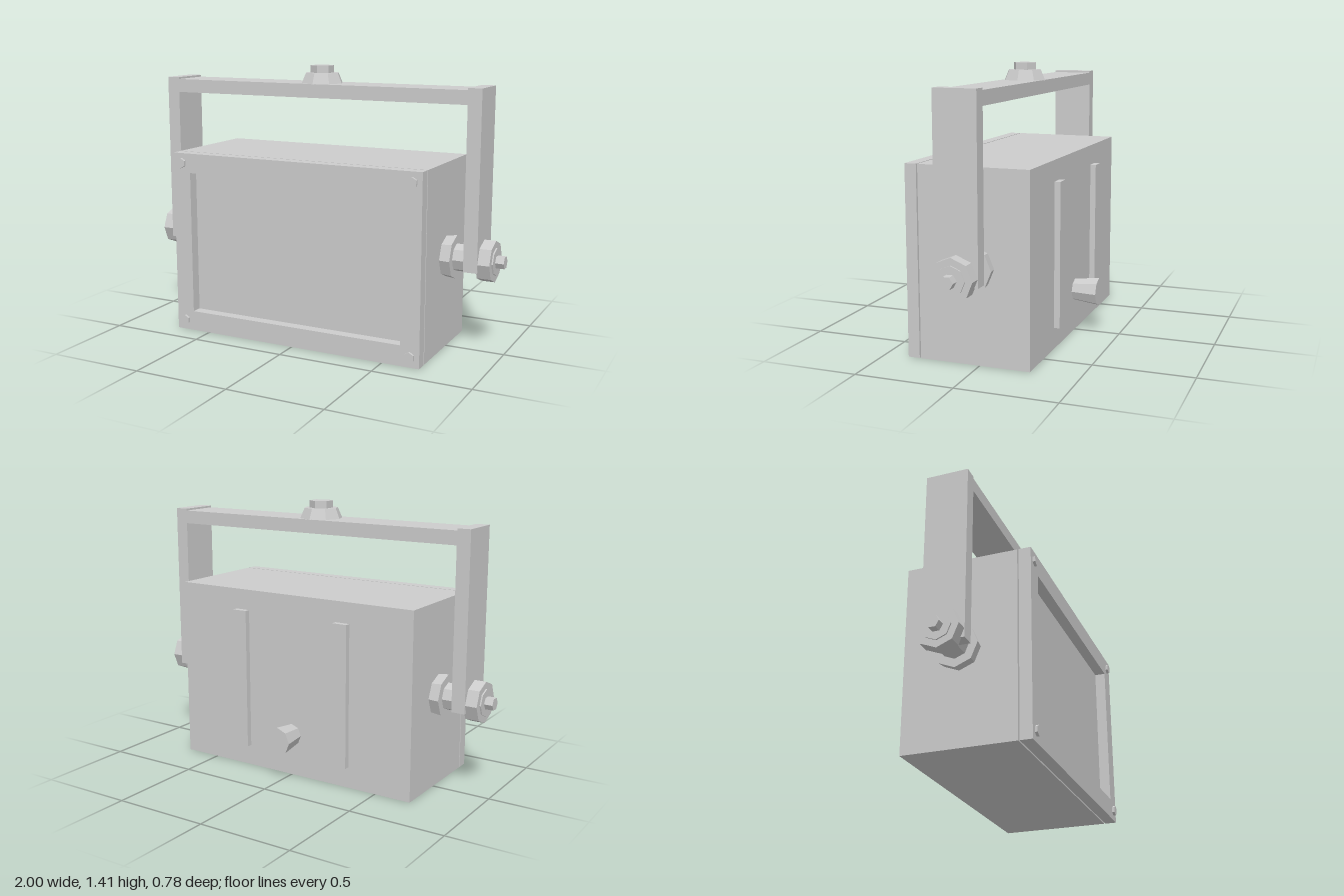
import * as THREE from 'three';

export function createModel() {
  const model = new THREE.Group();
  model.name = 'floodlight';
  const material = new THREE.MeshStandardMaterial({ color: 0xcccccc, flatShading: true });

  const add = (name, geometry, parent = model) => {
    const mesh = new THREE.Mesh(geometry, material);
    mesh.name = name;
    parent.add(mesh);
    return mesh;
  };
  // Box given by its extents on each axis
  const box = (name, [x0, x1], [y0, y1], [z0, z1], parent) =>
    add(name, new THREE.BoxGeometry(x1 - x0, y1 - y0, z1 - z0)
      .translate((x0 + x1) / 2, (y0 + y1) / 2, (z0 + z1) / 2), parent);
  // Faceted cylinder or cone along an axis, from a (radius ra) to b (radius rb)
  const rod = (name, axis, a, b, ra, rb, sides, centre, parent) => {
    const g = new THREE.CylinderGeometry(rb, ra, b - a, sides);
    if (axis === 'x') g.rotateZ(-Math.PI / 2);
    if (axis === 'z') g.rotateX(Math.PI / 2);
    const p = new THREE.Vector3(...centre);
    p[axis] = (a + b) / 2;
    return add(name, g.translate(p.x, p.y, p.z), parent);
  };

  // Housing and glass
  box('housing', [-0.695, 0.695], [0, 0.957], [-0.255, 0.31]);
  box('glass', [-0.605, 0.605], [0.1, 0.86], [0.305, 0.322]);

  // Front frame with a window opening
  const outline = (shape, x, y0, y1) =>
    shape.moveTo(-x, y0).lineTo(x, y0).lineTo(x, y1).lineTo(-x, y1).closePath();
  const frame = new THREE.Shape();
  outline(frame, 0.695, 0, 0.957);
  const opening = new THREE.Path();
  outline(opening, 0.595, 0.105, 0.855);
  frame.holes.push(opening);
  add('frontFrame', new THREE.ExtrudeGeometry(frame, { depth: 0.06, bevelEnabled: false })
    .translate(0, 0, 0.317));

  // Frame bolts
  for (const x of [-0.645, 0.645])
    for (const y of [0.053, 0.905])
      rod('frameBolt', 'z', 0.37, 0.39, 0.027, 0.027, 6, [x, y, 0]);

  // Back ribs and cable gland
  for (const x of [-0.305, 0.305])
    box('backRib', [x - 0.04, x + 0.04], [0.11, 0.85], [-0.285, -0.25]);
  rod('cableGland', 'z', -0.388, -0.25, 0.074, 0.056, 8, [0, 0.22, 0]);

  // Yoke and its side pivots
  const zc = 0.027;
  const yokeZ = [-0.08, 0.134];
  box('yokeBar', [-0.82, 0.82], [1.25, 1.32], yokeZ);
  for (const side of [1, -1]) {
    const span = (a, b) => (side > 0 ? [a, b] : [-b, -a]);
    box('yokeArm', span(0.82, 0.89), [0.437, 1.33], yokeZ);
    const pivot = new THREE.Group();
    pivot.name = side > 0 ? 'leftPivot' : 'rightPivot';
    model.add(pivot);
    const part = (name, a, b, ra, rb, sides) => {
      const radii = side > 0 ? [ra, rb] : [rb, ra];
      rod(name, 'x', ...span(a, b), ...radii, sides, [0, 0.48, zc], pivot);
    };
    part('flange', 0.69, 0.75, 0.104, 0.112, 8);
    part('shaft', 0.74, 0.957, 0.07, 0.07, 8);
    part('clampNut', 0.88, 0.95, 0.105, 0.105, 8);
    part('pivotBolt', 0.95, 1.0, 0.033, 0.033, 6);
  }

  // Mounting knob on top of the yoke
  rod('topWasher', 'y', 1.318, 1.373, 0.112, 0.088, 8, [0, 0, zc]);
  rod('topBolt', 'y', 1.37, 1.41, 0.06, 0.06, 6, [0, 0, zc]);

  return model;
}
